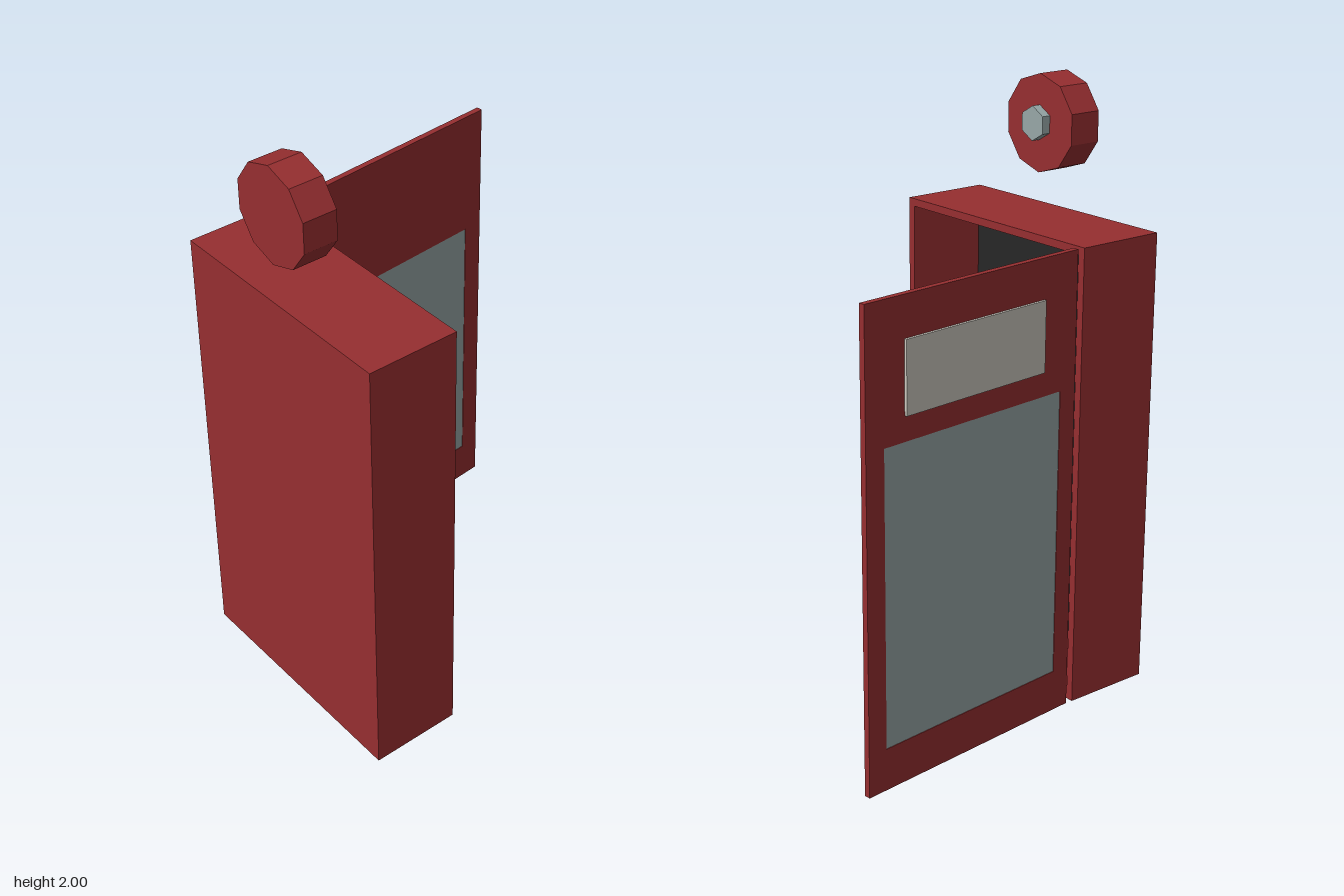
import * as THREE from 'three';

const paint = (name, color) => {
  const m = new THREE.MeshStandardMaterial({ color });
  m.name = name;
  return m;
};

// Rectangular panel in XY with a rectangular opening, extruded along +z
function framePanel(x0, y0, x1, y1, hole, depth) {
  const rect = (C, a, b, c, d) => {
    const p = new C();
    p.moveTo(a, b);
    p.lineTo(c, b);
    p.lineTo(c, d);
    p.lineTo(a, d);
    p.closePath();
    return p;
  };
  const shape = rect(THREE.Shape, x0, y0, x1, y1);
  shape.holes.push(rect(THREE.Path, ...hole));
  return new THREE.ExtrudeGeometry(shape, { depth, bevelEnabled: false });
}

export function createModel() {
  const red = paint('red paint', 0x962e30);
  const glass = paint('grey glass', 0x97a7a7);
  const paper = paint('pale label', 0xcbc8bf);
  const dark = paint('dark lining', 0x272727);
  for (const m of [red, glass, paper, dark]) m.flatShading = true;

  const model = new THREE.Group();
  model.name = 'extinguisherCabinet';
  const add = (parent, name, geometry, material, x = 0, y = 0, z = 0) => {
    const mesh = new THREE.Mesh(geometry, material);
    mesh.name = name;
    mesh.position.set(x, y, z);
    parent.add(mesh);
    return mesh;
  };

  const H = 1.545, L = -0.398, R = 0.47, T = 0.026;
  const midX = (L + R) / 2;

  // Cabinet shell, open towards -z
  const cabinet = new THREE.Group();
  cabinet.name = 'cabinet';
  model.add(cabinet);
  add(cabinet, 'cabinetWalls', framePanel(L, 0, R, H, [L + T, T, R - T, H - T], 0.29), red, 0, 0, 0.29);
  add(cabinet, 'cabinetBack', new THREE.BoxGeometry(R - L, H, 0.02), red, midX, H / 2, 0.59);
  add(cabinet, 'darkLining', new THREE.BoxGeometry(R - L - 2 * T, H - 2 * T, 0.006), dark, midX, H / 2, 0.577);

  // Extinguisher inside the cabinet
  const extinguisher = new THREE.Group();
  extinguisher.name = 'extinguisher';
  extinguisher.position.set(0.037, 0, 0.44);
  model.add(extinguisher);
  add(extinguisher, 'extinguisherBody', new THREE.CylinderGeometry(0.145, 0.145, 0.82, 8), red, 0, 0.635, 0);
  add(extinguisher, 'extinguisherValve', new THREE.CylinderGeometry(0.066, 0.066, 0.11, 8), dark, 0, 1.1, 0);

  // Open door: local x runs away from the hinge, local +z is the inner face
  const door = new THREE.Group();
  door.name = 'door';
  door.position.set(-0.386, 0, 0.265);
  door.rotation.y = THREE.MathUtils.degToRad(95);
  model.add(door);
  const [u0, v0, u1, v1] = [0.066, 0.14, 0.798, 1.105];
  add(door, 'doorFrame', framePanel(0, 0, 0.868, H, [u0, v0, u1, v1], 0.021), red, 0, 0, -0.0105);
  add(door, 'doorWindow', new THREE.BoxGeometry(u1 - u0, v1 - v0, 0.017), glass, (u0 + u1) / 2, (v0 + v1) / 2, 0);
  add(door, 'doorLabel', new THREE.BoxGeometry(0.572, 0.23, 0.009), paper, 0.432, 1.3, -0.015);

  // Alarm bell above the cabinet, with its wall mount behind
  const bell = new THREE.Group();
  bell.name = 'alarmBell';
  bell.position.set(0.037, 1.839, 0);
  model.add(bell);
  const disc = (r, depth, sides) => new THREE.CylinderGeometry(r, r, depth, sides).rotateX(Math.PI / 2);
  add(bell, 'bellDisc', disc(0.161, 0.115, 10), red, 0, 0, 0.5425);
  add(bell, 'bellMount', disc(0.057, 0.04, 6), glass, 0, 0.003, 0.474);

  return model;
}
